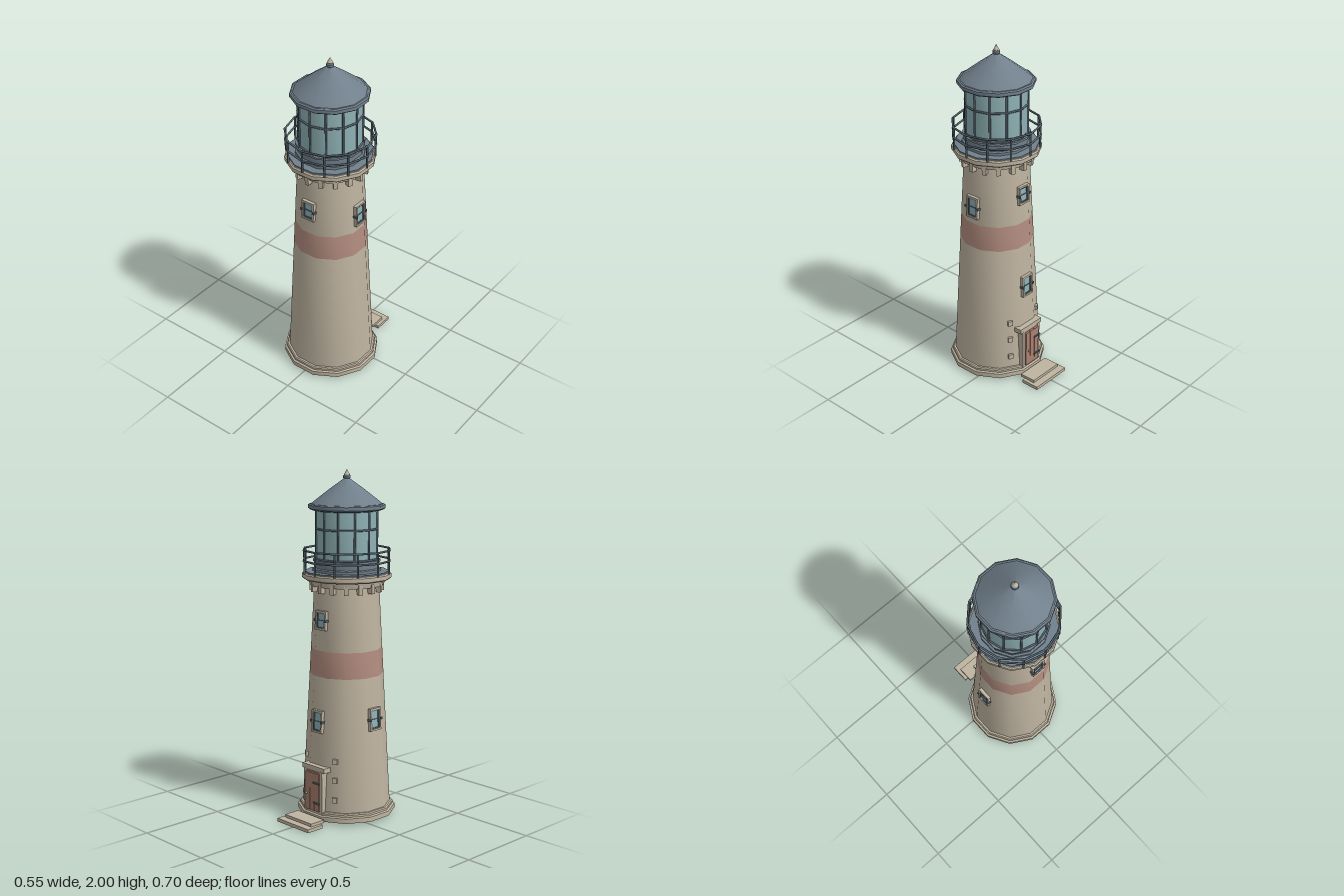
import * as THREE from 'three';
import { toCreasedNormals } from 'three/addons/utils/BufferGeometryUtils.js';

const mat = (name, color) => {
  const m = new THREE.MeshStandardMaterial({ color });
  m.name = name;
  return m;
};

const SIDES = 12;
const FLAT = 1 / Math.cos(Math.PI / SIDES);
// Wall distance from the axis at height y
const wallAt = (y) => 0.247 - (y - 0.06) * 0.0528;
const TILT = -0.0528;

export function createModel() {
  const stone = mat('stone', 0xbfb4a1);
  const band = mat('faded red', 0xb38d80);
  const wood = mat('door wood', 0xab8070);
  const slate = mat('slate', 0x71808c);
  const iron = mat('iron', 0x566670);
  const glass = mat('glass', 0x8fb2b6);

  const model = new THREE.Group();
  model.name = 'lighthouse';
  const tower = new THREE.Group();
  tower.name = 'tower';
  tower.position.z = 0.075;
  model.add(tower);

  const add = (parent, name, geo, material, x = 0, y = 0, z = 0) => {
    const m = new THREE.Mesh(geo, material);
    m.name = name;
    m.position.set(x, y, z);
    parent.add(m);
    return m;
  };
  const box = (parent, name, w, h, d, material, x, y, z) =>
    add(parent, name, new THREE.BoxGeometry(w, h, d), material, x, y, z);
  // Twelve-sided turned part with flat sides on the axes; profile is [wall distance, y]
  const turned = (name, profile, material, phase = Math.PI / SIDES) => {
    const pts = profile.map(([r, y]) => new THREE.Vector2(r * FLAT, y));
    const geo = new THREE.LatheGeometry(pts, SIDES, phase);
    return add(tower, name, toCreasedNormals(geo, 0.62), material);
  };
  // Group facing outward from the tower; its +z points away from the wall
  const facing = (name, angle, y, r, tilt = 0) => {
    const turn = new THREE.Group();
    turn.name = name;
    turn.rotation.y = angle;
    tower.add(turn);
    const g = new THREE.Group();
    g.name = name + 'Mount';
    g.position.set(0, y, r);
    g.rotation.x = tilt;
    turn.add(g);
    return g;
  };

  // Plinth and tapering wall with a painted band
  turned('plinth', [[0, 0.015], [0.275, 0.015], [0.275, 0.043], [0.264, 0.048], [0.264, 0.06], [0.258, 0.066], [0, 0.066]], stone);
  turned('lowerWall', [[wallAt(0.06), 0.06], [wallAt(0.84), 0.84]], stone);
  turned('paintedBand', [[wallAt(0.84), 0.84], [wallAt(0.99), 0.99]], band);
  turned('upperWall', [[wallAt(0.99), 0.99], [wallAt(1.37), 1.37]], stone);

  // Gallery: brackets, cornice, platform and deck
  for (let i = 0; i < 16; i++) {
    const g = facing('bracket', (i * Math.PI) / 8, 1.345, 0.19);
    box(g, 'bracketBlock', 0.024, 0.055, 0.045, stone, 0, 0, 0);
  }
  turned('cornice', [[0.17, 1.352], [0.205, 1.352], [0.21, 1.385], [0.17, 1.385]], stone);
  turned('platform', [[0.17, 1.385], [0.238, 1.385], [0.245, 1.392], [0.245, 1.415], [0.238, 1.422], [0.17, 1.422]], stone);
  turned('deck', [[0.232, 1.42], [0.232, 1.43], [0, 1.43]], slate);

  // Railing
  for (let i = 0; i < SIDES; i++) {
    const a = (i * Math.PI) / 6;
    add(tower, 'railPost', new THREE.CylinderGeometry(0.006, 0.006, 0.14, 6), iron,
      Math.sin(a) * 0.246, 1.485, Math.cos(a) * 0.246);
  }
  for (const y of [1.49, 1.55]) {
    const rail = add(tower, 'handRail', new THREE.TorusGeometry(0.25, 0.006, 6, SIDES), iron, 0, y, 0);
    rail.rotation.x = Math.PI / 2;
  }

  // Lantern room
  turned('lanternBase', [[0.188, 1.43], [0.188, 1.445], [0.178, 1.45], [0.178, 1.48], [0.186, 1.484], [0.186, 1.496], [0.16, 1.496]], slate);
  turned('lanternGlass', [[0.17, 1.49], [0.17, 1.79]], glass, 0);
  for (let i = 0; i < SIDES; i++) {
    const a = (i * Math.PI) / 6;
    add(tower, 'mullion', new THREE.CylinderGeometry(0.006, 0.006, 0.3, 6), iron,
      Math.sin(a) * 0.177, 1.64, Math.cos(a) * 0.177);
  }
  for (const y of [1.5, 1.67, 1.775]) {
    const bar = add(tower, 'glazingBar', new THREE.TorusGeometry(0.178, 0.006, 6, SIDES), iron, 0, y, 0);
    bar.rotation.x = Math.PI / 2;
  }

  // Roof and finial
  turned('eave', [[0.15, 1.775], [0.2, 1.775], [0.21, 1.783], [0.21, 1.802], [0.202, 1.808], [0.18, 1.808]], slate);
  turned('roof', [[0.196, 1.806], [0.165, 1.832], [0.09, 1.892], [0.016, 1.947], [0, 1.947]], slate);
  turned('finialCollar', [[0.012, 1.94], [0.02, 1.95], [0.02, 1.962], [0.014, 1.97]], slate);
  turned('finialTip', [[0.013, 1.962], [0.016, 1.97], [0.01, 1.98], [0, 2]], stone);

  // Windows: [angle, height, pane height]
  const windows = [
    [0, 1.143, 0.115], [Math.PI / 2, 1.095, 0.13], [-Math.PI / 2, 0.6, 0.13],
    [Math.PI, 1.165, 0.11], [Math.PI, 0.585, 0.13],
  ];
  for (const [angle, y, h] of windows) {
    const g = facing('window', angle, y, wallAt(y), TILT);
    const w = 0.084;
    for (const s of [-1, 1]) {
      box(g, 'stoneJamb', 0.01, h, 0.04, stone, s * (w / 2 - 0.005), 0, 0);
      box(g, 'stoneHead', w, 0.01, 0.04, stone, 0, s * (h / 2 - 0.005), 0);
      box(g, 'sashSide', 0.007, h - 0.02, 0.03, iron, s * (w / 2 - 0.0135), 0, 0);
      box(g, 'sashEnd', w - 0.02, 0.007, 0.03, iron, 0, s * (h / 2 - 0.0135), 0);
      box(g, 'hingeLug', 0.012, 0.014, 0.05, iron, s * w / 2, 0, 0);
    }
    box(g, 'pane', w - 0.02, h - 0.02, 0.02, glass, 0, 0, 0);
    box(g, 'crossBar', w - 0.02, 0.005, 0.028, iron, 0, 0, 0);
  }

  // Door on the back, with jambs, lintel, planks, hinges and knob
  const door = facing('door', Math.PI, 0, 0);
  for (const s of [-1, 1]) box(door, 'doorJamb', 0.018, 0.25, 0.06, stone, s * 0.065, 0.18, 0.238);
  box(door, 'lintel', 0.184, 0.028, 0.06, stone, 0, 0.315, 0.236);
  box(door, 'doorBacking', 0.112, 0.24, 0.04, wood, 0, 0.18, 0.245);
  for (let i = -1; i <= 1; i++) box(door, 'plank', 0.035, 0.225, 0.03, wood, i * 0.0375, 0.178, 0.262);
  for (const y of [0.115, 0.235]) box(door, 'strapHinge', 0.052, 0.01, 0.006, iron, 0.04, y, 0.28);
  add(door, 'doorKnob', new THREE.SphereGeometry(0.007, 8, 6), stone, -0.037, 0.165, 0.285);

  // Projecting stones on either side of the door
  for (const s of [-1, 1]) {
    for (const y of [0.14, 0.255, 0.365]) {
      const g = facing('wallStone', Math.PI + s * Math.PI / 6, y, wallAt(y), TILT);
      box(g, 'wallStoneBlock', 0.028, 0.03, 0.03, stone, 0, 0, 0);
    }
  }

  // Steps
  box(model, 'upperStep', 0.22, 0.017, 0.098, stone, 0, 0.029, -0.26);
  box(model, 'lowerStep', 0.26, 0.02, 0.112, stone, 0, 0.01, -0.295);
  return model;
}
